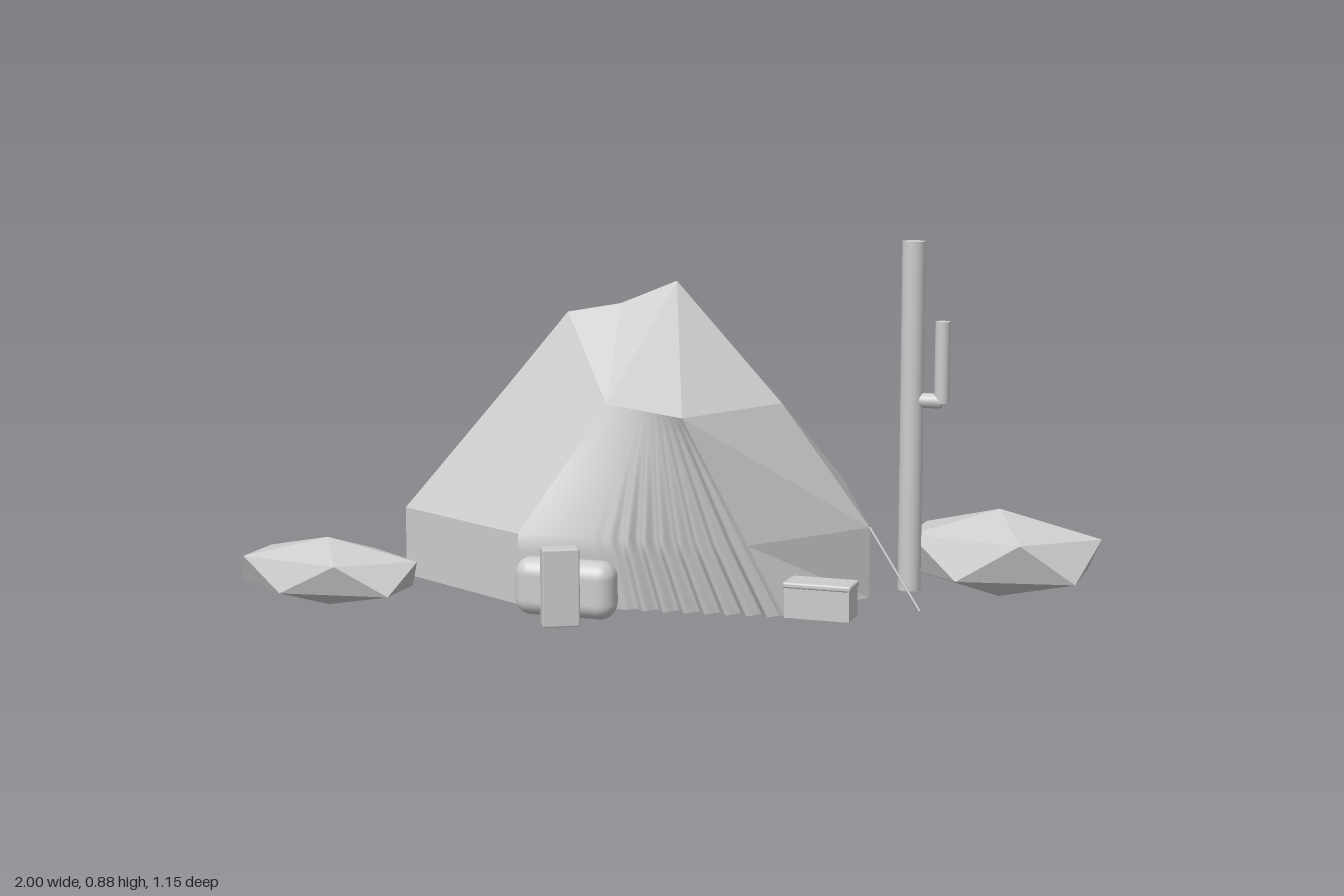
import * as THREE from 'three';
import { ConvexGeometry } from 'three/addons/geometries/ConvexGeometry.js';
import { ParametricGeometry } from 'three/addons/geometries/ParametricGeometry.js';
import { RoundedBoxGeometry } from 'three/addons/geometries/RoundedBoxGeometry.js';

const V = (x, y, z) => new THREE.Vector3(x, y, z);
const BASE = 0.03;

export function createModel() {
  const model = new THREE.Group();
  const grey = new THREE.MeshStandardMaterial({ color: 0xcccccc, side: THREE.DoubleSide });
  grey.name = 'plain grey';

  const add = (name, geometry, x = 0, y = 0, z = 0, parent = model) => {
    const mesh = new THREE.Mesh(geometry, grey);
    mesh.name = name;
    mesh.position.set(x, y, z);
    parent.add(mesh);
    return mesh;
  };

  // Flat cloth panels: each polygon is fanned into unshared triangles
  const panels = (name, polygons) => {
    const points = [];
    for (const p of polygons)
      for (let i = 1; i < p.length - 1; i++) points.push(p[0], p[i], p[i + 1]);
    const geometry = new THREE.BufferGeometry().setFromPoints(points);
    geometry.computeVertexNormals();
    return add(name, geometry, 0, 0, 0, tent);
  };

  const tent = new THREE.Group();
  tent.name = 'tent';
  model.add(tent);

  // Tent corners: eaves at 0.2, upper seam at 0.5, ridge above
  const backLeft = V(0.255, 0.2, -0.58), backRight = V(-0.55, 0.2, -0.57);
  const sideRight = V(-0.67, 0.2, 0.16), frontRight = V(-0.28, 0.2, 0.375);
  const sideLeft = V(0.485, 0.2, 0.04), frontLeft = V(0.27, 0.2, 0.335);
  const seamRight = V(-0.43, 0.5, 0.087), doorRight = V(-0.1, 0.5, 0.26);
  const doorLeft = V(0.137, 0.5, 0.408), seamLeft = V(0.287, 0.5, 0.113);
  const seamBack = V(0.12, 0.5, -0.222);
  const ridge = V(-0.28, 0.69, 0.043), sag = V(-0.15, 0.713, 0.02), peak = V(-0.013, 0.77, 0);
  const doorFoot = V(0.35, BASE, 0.293);
  const foot = (p) => V(p.x, BASE, p.z);

  // Upper roof with the sagging ridge
  panels('roof', [
    [seamRight, doorRight, ridge], [ridge, doorRight, sag], [sag, doorRight, peak],
    [peak, doorRight, doorLeft], [peak, doorLeft, seamLeft], [peak, seamLeft, seamBack],
    [ridge, sag, seamBack], [sag, peak, seamBack],
  ]);

  // Sloping sides
  panels('slopes', [
    [sideRight, frontRight, doorRight, seamRight],
    [doorLeft, frontLeft, sideLeft, seamLeft],
    [seamLeft, sideLeft, backLeft, seamBack],
    [backLeft, backRight, ridge, seamBack],
    [backRight, sideRight, ridge],
  ]);

  // Vertical walls along the eaves
  const eaves = [sideLeft, backLeft, backRight, sideRight, frontRight];
  const walls = eaves.slice(1).map((b, i) => [eaves[i], foot(eaves[i]), foot(b), b]);
  walls.push([frontLeft, doorFoot, foot(sideLeft), sideLeft]);
  panels('walls', walls);

  // Door curtain: ruled between its two edges, with folds growing downward
  const bend = 7 / 11;
  const curtain = new ParametricGeometry((u, v, target) => {
    const left = v < bend
      ? doorRight.clone().lerp(frontRight, v / bend)
      : frontRight.clone().lerp(foot(frontRight), (v - bend) / (1 - bend));
    const right = doorLeft.clone().lerp(doorFoot, v);
    target.copy(left.lerp(right, u));
    const fade = THREE.MathUtils.smoothstep(u, 0.3, 0.55) * (1 - THREE.MathUtils.smoothstep(u, 0.95, 1));
    target.z += 0.013 * v * fade * Math.sin(u * Math.PI * 2 * 13);
  }, 104, 11);
  add('doorCurtain', curtain, 0, 0, 0, tent);

  // Guy rope pegged to the ground
  const rope = new THREE.LineCurve3(sideLeft, V(0.63, BASE, 0.135));
  add('guyRope', new THREE.TubeGeometry(rope, 1, 0.003, 6), 0, 0, 0, tent);

  // Faceted boulders: two poles and two staggered rings of five
  const boulder = (x, h, z, rx, rz) => {
    const pts = [V(0, h, 0), V(0, -h, 0)];
    for (let i = 0; i < 5; i++) {
      const a = (i * Math.PI * 2) / 5, b = a + Math.PI / 5;
      pts.push(V(rx * Math.cos(a), h * 0.447, rz * Math.sin(a)));
      pts.push(V(rx * Math.cos(b), -h * 0.447, rz * Math.sin(b)));
    }
    add('boulder', new ConvexGeometry(pts), x, h, z);
  };
  boulder(0.75, 0.109, -0.2, 0.25, 0.15);
  boulder(-0.765, 0.083, 0.4, 0.235, 0.119);

  // Cactus with one raised arm
  const cactus = new THREE.Group();
  cactus.name = 'cactus';
  cactus.position.set(0.555, 0, -0.078);
  model.add(cactus);
  add('trunk', new THREE.CylinderGeometry(0.028, 0.028, 0.845, 16), 0, 0.4525, 0, cactus);
  add('arm', new THREE.CylinderGeometry(0.018, 0.018, 0.195, 14), 0.073, 0.588, 0, cactus);
  add('armJoint', new THREE.CylinderGeometry(0.018, 0.018, 0.073, 14), 0.036, 0.494, 0, cactus)
    .rotation.z = Math.PI / 2;

  // Camping gear in front of the door
  add('bedroll', new RoundedBoxGeometry(0.245, 0.135, 0.082, 5, 0.038), -0.131, 0.0975, 0.447);
  add('pack', new RoundedBoxGeometry(0.085, 0.18, 0.05, 1, 0.004), -0.113, 0.12, 0.533)
    .rotation.y = 0.5;
  add('crate', new THREE.BoxGeometry(0.155, 0.072, 0.076), 0.427, 0.066, 0.265);
  add('crateLid', new RoundedBoxGeometry(0.162, 0.014, 0.083, 2, 0.005), 0.427, 0.107, 0.265);

  return model;
}
